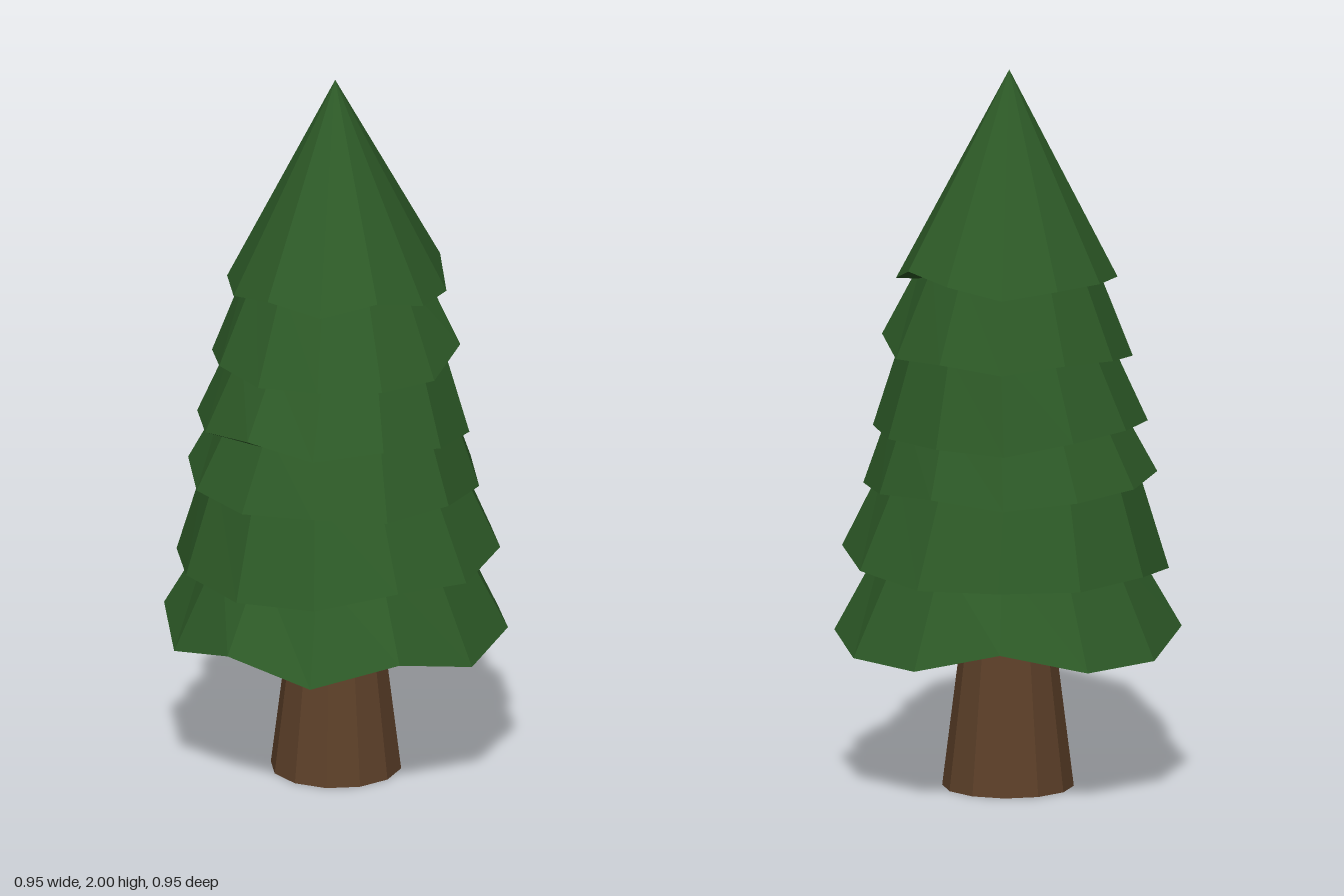
import * as THREE from 'three';

const SIDES = 12;

// Each tier: rim radius, neck (radius, height), underside inset radius, sideways lean (x, z)
// of the rim, and rim heights going round from +x towards +z.
const TIERS = [
  { r: 0.475, neck: [0.335, 0.69], inner: 0.33, lean: [0, 0], hollow: true,
    rim: [0.43, 0.40, 0.46, 0.40, 0.46, 0.40, 0.45, 0.40, 0.40, 0.46, 0.40, 0.40] },
  { r: 0.447, neck: [0.345, 0.90], inner: 0.33, lean: [0.007, 0.003],
    rim: [0.665, 0.64, 0.66, 0.62, 0.61, 0.62, 0.61, 0.63, 0.62, 0.625, 0.62, 0.64] },
  { r: 0.402, neck: [0.31, 1.07], inner: 0.33, lean: [-0.006, 0.003],
    rim: [0.84, 0.855, 0.85, 0.87, 0.855, 0.86, 0.88, 0.87, 0.86, 0.845, 0.865, 0.85] },
  { r: 0.376, neck: [0.285, 1.25], inner: 0.30, lean: [-0.006, 0.01],
    rim: [1.0, 1.02, 1.05, 1.03, 1.06, 1.03, 1.02, 1.03, 1.02, 0.99, 1.0, 1.0] },
  { r: 0.343, neck: [0.235, 1.47], inner: 0.26, lean: [0.002, 0.01],
    rim: [1.255, 1.21, 1.215, 1.22, 1.21, 1.22, 1.20, 1.22, 1.23, 1.21, 1.23, 1.22] },
  { r: 0.303, neck: [0, 2], inner: 0.22, lean: [0.004, 0.012],
    rim: [1.41, 1.42, 1.46, 1.425, 1.45, 1.42, 1.42, 1.43, 1.43, 1.41, 1.44, 1.46] },
];

// Skin a stack of rings, ordered from top to bottom; heights may vary round a ring.
function loft(rings) {
  const pos = [];
  const index = [];
  for (const { r, y, x, z } of rings) {
    for (let k = 0; k < SIDES; k++) {
      const a = (k / SIDES) * Math.PI * 2;
      pos.push(x + Math.cos(a) * r, y(k), z + Math.sin(a) * r);
    }
  }
  for (let i = 0; i < rings.length - 1; i++) {
    for (let k = 0; k < SIDES; k++) {
      const n = (k + 1) % SIDES;
      const a = i * SIDES + k, b = i * SIDES + n;
      const c = a + SIDES, d = b + SIDES;
      if (rings[i].r > 0) index.push(a, b, c);
      if (rings[i + 1].r > 0) index.push(b, d, c);
    }
  }
  const indexed = new THREE.BufferGeometry();
  indexed.setAttribute('position', new THREE.Float32BufferAttribute(pos, 3));
  indexed.setIndex(index);
  const geo = indexed.toNonIndexed();
  geo.computeVertexNormals();
  return geo;
}

export function createModel() {
  const tree = new THREE.Group();
  tree.name = 'pineTree';

  const bark = new THREE.MeshStandardMaterial({ color: 0x5d4029, flatShading: true });
  const needles = new THREE.MeshStandardMaterial({
    color: 0x2d5a27, flatShading: true, side: THREE.DoubleSide,
  });

  // Tapered trunk, running up into the branches
  const trunk = new THREE.Mesh(new THREE.CylinderGeometry(0.1, 0.18, 0.64, 12), bark);
  trunk.position.y = 0.32;
  trunk.name = 'trunk';
  tree.add(trunk);

  // Stacked skirts of branches with wavy rims; the lowest is hollow underneath
  const foliage = new THREE.Group();
  foliage.name = 'foliage';
  TIERS.forEach(({ r, neck, inner, lean: [x, z], hollow, rim }, i) => {
    const mean = rim.reduce((s, h) => s + h, 0) / SIDES;
    const rings = [
      { r: neck[0], y: () => neck[1], x: -x, z: -z },
      { r, y: (k) => rim[k], x, z },
    ];
    if (hollow) {
      rings.push({ r: inner, y: (k) => (rim[k] + mean) / 2 + 0.04, x, z });
    } else {
      rings.push({ r: inner, y: () => mean, x, z }, { r: 0, y: () => mean, x, z });
    }
    const tier = new THREE.Mesh(loft(rings), needles);
    tier.name = i === TIERS.length - 1 ? 'treeTop' : `branchTier${i + 1}`;
    foliage.add(tier);
  });
  tree.add(foliage);

  return tree;
}
